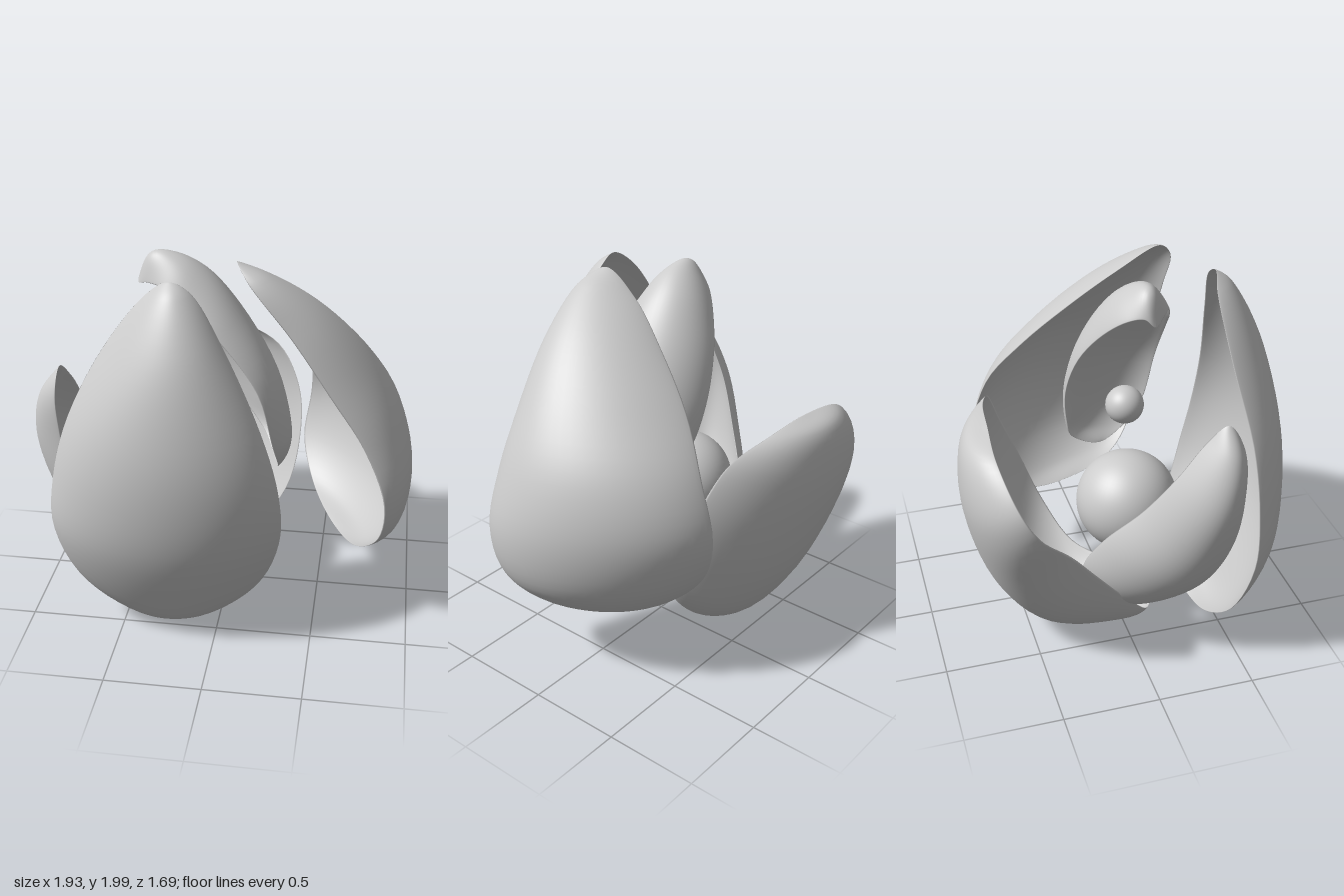
import * as THREE from 'three';
import { mergeVertices } from 'three/addons/utils/BufferGeometryUtils.js';

const material = new THREE.MeshStandardMaterial({ color: 0xcccccc, side: THREE.DoubleSide });

// Thin curved petal: a closed rim through base, both edges and tip, plus a middle rail,
// joined by round cross-sections and given a rounded thickness.
function petal(name, base, tip, rows, thickness = 0.014) {
  const points = (k) => rows.map((r) => new THREE.Vector3(...r[k]));
  const start = new THREE.Vector3(...base), end = new THREE.Vector3(...tip);
  const rim = new THREE.CatmullRomCurve3([start, ...points(0), end, ...points(2).reverse()], true);
  const middle = new THREE.CatmullRomCurve3([start, ...points(1), end]);

  const surface = (u, v) => {
    const a = rim.getPoint(u / 2), m = middle.getPoint(u), b = rim.getPoint(1 - u / 2);
    const bow = a.clone().add(b).multiplyScalar(0.5).sub(m);
    const round = (1 - Math.sqrt(1 - 0.9 * Math.min(1, v * v))) / (1 - Math.sqrt(0.1));
    return m.addScaledVector(b.sub(a), v / 2).addScaledVector(bow, round);
  };
  const normal = (u, v) => {
    const c = THREE.MathUtils.clamp(u, 0.01, 0.99), e = 0.005;
    const dv = surface(c, v + e).sub(surface(c, v - e));
    const du = surface(c + e, v).sub(surface(c - e, v));
    return dv.cross(du).normalize();
  };

  const N = 60, M = 56, positions = [], index = [];
  for (let i = 0; i <= N; i++) {
    const u = (1 - Math.cos((Math.PI * i) / N)) / 2;
    const t = thickness * Math.sqrt(Math.max(0, Math.sin(Math.PI * u)));
    for (let j = 0; j < M; j++) {
      const a = (2 * Math.PI * j) / M, v = Math.cos(a);
      const p = surface(u, v).addScaledVector(normal(u, v), t * Math.sin(a));
      positions.push(p.x, p.y, p.z);
      if (i === N) continue;
      const p0 = i * M + j, p1 = i * M + ((j + 1) % M);
      index.push(p0, p0 + M, p1, p1, p0 + M, p1 + M);
    }
  }
  let geometry = new THREE.BufferGeometry();
  geometry.setAttribute('position', new THREE.Float32BufferAttribute(positions, 3));
  geometry.setIndex(index);
  geometry = mergeVertices(geometry, 1e-5);
  geometry.computeVertexNormals();
  const mesh = new THREE.Mesh(geometry, material);
  mesh.name = name;
  return mesh;
}

function ball(name, radius, x, y, z) {
  const mesh = new THREE.Mesh(new THREE.SphereGeometry(radius, 48, 32), material);
  mesh.position.set(x, y, z);
  mesh.name = name;
  return mesh;
}

export function createModel() {
  const group = new THREE.Group();
  group.name = 'flowerBud';

  // Tall front petal
  group.add(petal('frontPetal', [-0.22, 0.01, 0.41], [-0.21, 1.95, 0.5], [
    [[-0.47, 0.06, 0.43], [-0.23, 0.06, 0.52], [0, 0.06, 0.38]],
    [[-0.72, 0.26, 0.48], [-0.24, 0.25, 0.64], [0.2, 0.23, 0.4]],
    [[-0.84, 0.6, 0.54], [-0.27, 0.58, 0.78], [0.33, 0.6, 0.53]],
    [[-0.82, 0.9, 0.55], [-0.27, 0.9, 0.83], [0.325, 0.92, 0.6]],
    [[-0.73, 1.23, 0.535], [-0.25, 1.22, 0.82], [0.24, 1.24, 0.61]],
    [[-0.54, 1.6, 0.48], [-0.22, 1.6, 0.73], [0.05, 1.65, 0.55]],
    [[-0.32, 1.88, 0.47], [-0.21, 1.88, 0.58], [-0.11, 1.9, 0.5]],
  ]));

  // Large petal on the left side, leaning over the middle
  group.add(petal('leftPetal', [0.57, 0.37, -0.05], [0.08, 1.99, 0.3], [
    [[0.71, 0.42, 0.24], [0.7, 0.41, -0.08], [0.43, 0.44, -0.38]],
    [[0.82, 0.57, 0.39], [0.84, 0.59, -0.13], [0.36, 0.63, -0.57]],
    [[0.84, 0.8, 0.44], [0.9, 0.9, -0.14], [0.39, 0.9, -0.64]],
    [[0.73, 1.1, 0.44], [0.85, 1.2, -0.08], [0.38, 1.18, -0.56]],
    [[0.55, 1.38, 0.44], [0.71, 1.46, 0.03], [0.27, 1.44, -0.38]],
    [[0.36, 1.66, 0.43], [0.47, 1.74, 0.17], [0.17, 1.68, -0.14]],
    [[0.15, 1.91, 0.39], [0.23, 1.92, 0.27], [0.09, 1.88, 0.1]],
  ]));

  // Cupped back petal that sweeps under the bud
  group.add(petal('backPetal', [-0.28, 0.17, 0.17], [-0.32, 1.32, -0.68], [
    [[-0.45, 0.14, 0.11], [-0.28, 0.06, 0.03], [-0.08, 0.18, 0.05]],
    [[-0.56, 0.33, -0.05], [-0.26, 0.015, -0.19], [0.12, 0.24, -0.16]],
    [[-0.65, 0.56, -0.22], [-0.27, 0.11, -0.45], [0.29, 0.44, -0.29]],
    [[-0.73, 0.78, -0.38], [-0.29, 0.38, -0.66], [0.35, 0.72, -0.4]],
    [[-0.82, 0.98, -0.55], [-0.32, 0.75, -0.79], [0.33, 0.97, -0.5]],
    [[-0.79, 1.12, -0.63], [-0.35, 1.05, -0.83], [0.2, 1.2, -0.58]],
    [[-0.59, 1.28, -0.69], [-0.34, 1.26, -0.79], [-0.04, 1.29, -0.65]],
  ]));

  // Smaller petal on the right side
  group.add(petal('rightPetal', [-0.28, 0.18, -0.1], [-0.8, 1.43, 0.37], [
    [[-0.28, 0.28, -0.2], [-0.39, 0.19, -0.06], [-0.4, 0.2, 0.09]],
    [[-0.38, 0.46, -0.22], [-0.56, 0.31, -0.03], [-0.55, 0.34, 0.24]],
    [[-0.51, 0.68, -0.15], [-0.76, 0.53, 0.09], [-0.69, 0.54, 0.38]],
    [[-0.65, 0.92, 0.01], [-0.88, 0.77, 0.21], [-0.77, 0.81, 0.46]],
    [[-0.74, 1.15, 0.15], [-0.94, 1.05, 0.31], [-0.79, 1.07, 0.47]],
    [[-0.77, 1.34, 0.28], [-0.9, 1.28, 0.36], [-0.81, 1.3, 0.45]],
  ]));

  // Narrow inner petal curling over the centre
  group.add(petal('innerPetal', [0.26, 0.78, 0.05], [-0.44, 1.8, 0.12], [
    [[0.18, 0.88, -0.12], [0.3, 0.87, -0.02], [0.28, 0.85, 0.18]],
    [[0.02, 1.08, -0.2], [0.3, 1.02, -0.02], [0.26, 1.0, 0.28]],
    [[-0.08, 1.32, -0.23], [0.22, 1.35, 0], [0.18, 1.33, 0.33]],
    [[-0.19, 1.55, -0.19], [0.05, 1.66, 0.02], [-0.02, 1.6, 0.32]],
    [[-0.3, 1.72, -0.1], [-0.1, 1.85, 0.06], [-0.15, 1.71, 0.29]],
    [[-0.39, 1.82, 0], [-0.24, 1.94, 0.1], [-0.28, 1.81, 0.24]],
    [[-0.43, 1.84, 0.07], [-0.36, 1.95, 0.12], [-0.38, 1.82, 0.18]],
  ]));

  // Centre balls
  group.add(ball('largeBall', 0.265, -0.255, 0.73, 0.045));
  group.add(ball('smallBall', 0.097, -0.25, 1.3, 0.03));
  return group;
}
